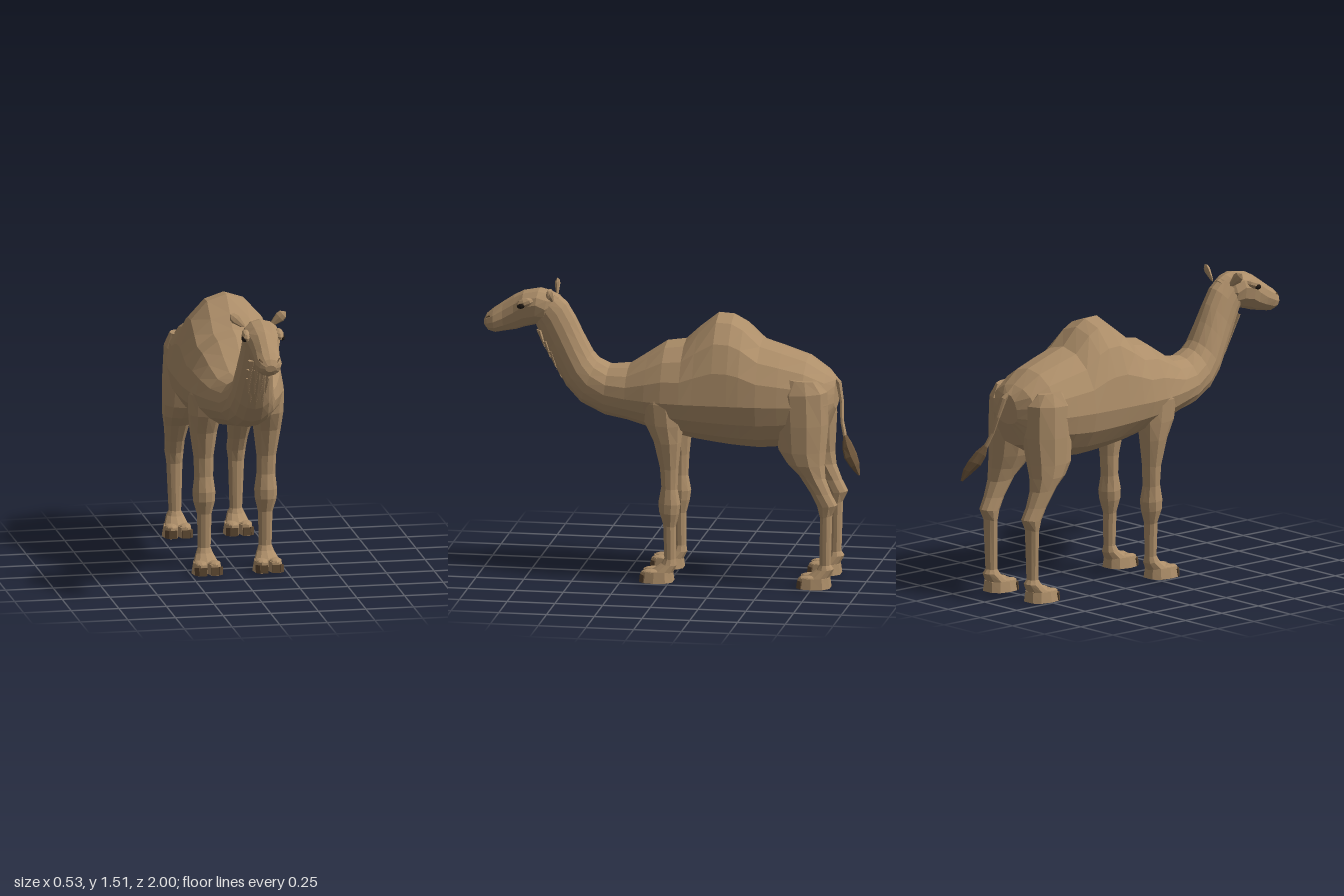
import * as THREE from 'three';

const mat = (name, color) => {
  const m = new THREE.MeshStandardMaterial({ color, flatShading: true });
  m.name = name;
  return m;
};

// Skin over cross-sections. Each ring: [zA, yA, zB, yB, halfWidth, xCentre, widest]
// A is the upper (or front) point, B the lower (or rear) one; widest = place of full width from B to A.
function loft(rings, sides) {
  const pos = [], idx = [], n = rings.length;
  rings.forEach(([za, ya, zb, yb, hw, cx = 0, k = 0.5]) => {
    const cz = zb + (za - zb) * k, cy = yb + (ya - yb) * k;
    for (let j = 0; j < sides; j++) {
      const a = (j / sides) * Math.PI * 2, c = Math.cos(a), f = Math.abs(c);
      const [tz, ty] = c > 0 ? [za, ya] : [zb, yb];
      pos.push(cx + hw * Math.sin(a), cy + (ty - cy) * f, cz + (tz - cz) * f);
    }
  });
  for (const r of [rings[0], rings[n - 1]]) pos.push(r[5] || 0, (r[1] + r[3]) / 2, (r[0] + r[2]) / 2);
  for (let j = 0; j < sides; j++) {
    const q = (j + 1) % sides, e = (n - 1) * sides;
    for (let i = 0; i < n - 1; i++) {
      const a = i * sides, b = a + sides;
      idx.push(a + j, b + j, b + q, a + j, b + q, a + q);
    }
    idx.push(n * sides, j, q, n * sides + 1, e + q, e + j);
  }
  const g = new THREE.BufferGeometry();
  g.setAttribute('position', new THREE.Float32BufferAttribute(pos, 3));
  g.setIndex(idx);
  const flat = g.toNonIndexed();
  flat.computeVertexNormals();
  return flat;
}

export function createModel() {
  const model = new THREE.Group();
  model.name = 'camel';
  const fur = mat('tan fur', 0xad8e69);
  const tuft = mat('dark tuft', 0x6f573c);
  const nail = mat('brown toenail', 0x5c4731);
  const sole = mat('dark sole', 0x3f3022);
  const black = mat('eye black', 0x1e1712);

  const add = (name, geo, material, parent = model) => {
    const m = new THREE.Mesh(geo, material);
    m.name = name;
    parent.add(m);
    return m;
  };

  // Trunk with hump: z, bottom, top, half width
  const trunk = [
    [-0.845, 0.92, 1.08, 0.08], [-0.80, 0.80, 1.12, 0.185], [-0.70, 0.745, 1.19, 0.23],
    [-0.57, 0.705, 1.235, 0.25], [-0.46, 0.695, 1.27, 0.263], [-0.37, 0.70, 1.36, 0.265],
    [-0.31, 0.705, 1.395, 0.265], [-0.23, 0.715, 1.40, 0.265], [-0.13, 0.73, 1.32, 0.265],
    [-0.06, 0.745, 1.255, 0.263], [0.04, 0.765, 1.24, 0.25], [0.13, 0.785, 1.18, 0.228],
    [0.235, 0.815, 1.11, 0.19],
  ].map(([z, b, t, w]) => [z, t, z, b, w, 0, (0.96 - b) / (t - b)]);
  const neck = [
    [0.34, 1.10, 0.36, 0.835, 0.148], [0.40, 1.13, 0.49, 0.895, 0.122],
    [0.43, 1.165, 0.57, 0.98, 0.108], [0.48, 1.26, 0.62, 1.07, 0.096],
    [0.52, 1.345, 0.67, 1.16, 0.085], [0.565, 1.42, 0.71, 1.25, 0.08],
    [0.62, 1.465, 0.735, 1.31, 0.078],
  ];
  add('bodyAndNeck', loft([...trunk, ...neck], 16), fur);

  // Head
  add('head', loft([
    [0.60, 1.455, 0.66, 1.34, 0.055], [0.655, 1.48, 0.685, 1.305, 0.086],
    [0.71, 1.49, 0.73, 1.295, 0.097, 0, 0.62], [0.79, 1.475, 0.79, 1.28, 0.09, 0, 0.62],
    [0.84, 1.45, 0.835, 1.265, 0.074, 0, 0.55], [0.90, 1.41, 0.89, 1.255, 0.067],
    [0.95, 1.375, 0.94, 1.245, 0.069], [0.985, 1.345, 0.975, 1.255, 0.055],
    [1.0, 1.315, 0.995, 1.28, 0.028],
  ], 12), fur);

  for (const s of [1, -1]) {
    const side = s > 0 ? 'left' : 'right';

    // Brow, eye, nostril
    const brow = add(side + 'Brow', new THREE.SphereGeometry(1, 8, 5), fur);
    brow.scale.set(0.024, 0.024, 0.048);
    brow.position.set(s * 0.087, 1.425, 0.775);
    brow.rotation.x = 0.35;
    const eye = add(side + 'Eye', new THREE.SphereGeometry(1, 8, 6), black);
    eye.scale.set(0.016, 0.015, 0.024);
    eye.position.set(s * 0.098, 1.412, 0.79);
    eye.rotation.x = 0.35;
    const nostril = add(side + 'Nostril', new THREE.BoxGeometry(0.006, 0.009, 0.03), tuft);
    nostril.position.set(s * 0.045, 1.334, 0.972);
    nostril.rotation.set(0.7, s * -0.5, 0);

    // Ear: flattened leaf leaning outwards
    const ear = add(side + 'Ear', new THREE.LatheGeometry([
      [0, -0.05], [0.013, -0.035], [0.028, 0.02], [0.024, 0.042], [0, 0.062],
    ].map(p => new THREE.Vector2(...p)), 7), fur);
    ear.scale.set(1, 1, 0.5);
    ear.position.set(s * 0.102, 1.468, 0.635);
    ear.rotation.set(-0.15, s * -0.3, s * -0.85);

    // Legs: front and rear outline from top to bottom
    add(side + 'FrontLeg', loft([
      [0.10, 1.02, -0.02, 1.02, 0.03, s * 0.20], [0.145, 0.95, -0.06, 0.95, 0.075, s * 0.175],
      [0.135, 0.84, -0.07, 0.83, 0.085, s * 0.163], [0.085, 0.74, -0.06, 0.74, 0.072, s * 0.167],
      [0.052, 0.60, -0.045, 0.60, 0.052, s * 0.165], [0.045, 0.50, -0.04, 0.49, 0.05, s * 0.163],
      [0.06, 0.42, -0.055, 0.41, 0.06, s * 0.162], [0.058, 0.37, -0.048, 0.36, 0.057, s * 0.162],
      [0.036, 0.30, -0.03, 0.29, 0.038, s * 0.16], [0.03, 0.12, -0.03, 0.12, 0.034, s * 0.16],
      [0.045, 0.095, -0.035, 0.085, 0.045, s * 0.16], [0.095, 0.06, -0.015, 0.045, 0.064, s * 0.16],
    ], 10), fur);
    add(side + 'HindLeg', loft([
      [-0.60, 1.10, -0.77, 1.09, 0.05, s * 0.16], [-0.54, 1.02, -0.82, 1.03, 0.105, s * 0.135],
      [-0.55, 0.86, -0.825, 0.86, 0.118, s * 0.13], [-0.565, 0.72, -0.815, 0.72, 0.10, s * 0.148],
      [-0.61, 0.655, -0.81, 0.65, 0.084, s * 0.16], [-0.67, 0.60, -0.815, 0.58, 0.066, s * 0.165],
      [-0.735, 0.50, -0.845, 0.50, 0.052, s * 0.165], [-0.77, 0.43, -0.877, 0.44, 0.05, s * 0.163],
      [-0.785, 0.37, -0.85, 0.385, 0.043, s * 0.162], [-0.783, 0.12, -0.842, 0.12, 0.033, s * 0.16],
      [-0.768, 0.095, -0.858, 0.098, 0.045, s * 0.16], [-0.72, 0.06, -0.83, 0.045, 0.064, s * 0.16],
    ], 10), fur);

    // Feet: rounded two-toed pads with a front cleft, dark soles and toenails
    for (const [z, end] of [[0.065, 'Front'], [-0.758, 'Hind']]) {
      const foot = new THREE.Group();
      foot.name = side + end + 'Foot';
      foot.position.set(s * 0.16, 0, z);
      model.add(foot);
      const outline = [
        [0, 0.035], [0.012, 0.082], [0.05, 0.086], [0.072, 0.06], [0.08, 0.01],
        [0.068, -0.05], [0.035, -0.082],
      ];
      const ring = [...outline, ...outline.slice(1).reverse().map(([x, y]) => [-x, y])];
      const pad = new THREE.ExtrudeGeometry(
        new THREE.Shape(ring.map(p => new THREE.Vector2(...p))),
        { depth: 0.055, bevelEnabled: false });
      pad.rotateX(Math.PI / 2).translate(0, 0.055, 0);
      const p = pad.attributes.position; // pull the upper rim inwards
      for (let i = 0; i < p.count; i++) {
        if (p.getY(i) > 0.03) p.setXYZ(i, p.getX(i) * 0.88, p.getY(i), p.getZ(i) * 0.92);
      }
      pad.computeVertexNormals();
      add('pad', pad, fur, foot);
      const under = new THREE.ShapeGeometry(new THREE.Shape(ring.map(q => new THREE.Vector2(...q))));
      add('sole', under.rotateX(Math.PI / 2).translate(0, -0.0005, 0), sole, foot);
      for (const t of [1, -1]) {
        const toe = add('toe', new THREE.SphereGeometry(1, 8, 4, 0, Math.PI * 2, 0, Math.PI / 2), fur, foot);
        toe.scale.set(0.033, 0.014, 0.055);
        toe.position.set(t * 0.036, 0.053, 0.025);
        const claw = add('toenail', new THREE.BoxGeometry(0.04, 0.042, 0.008), nail, foot);
        claw.position.set(t * 0.032, 0.022, 0.083);
        claw.rotation.set(-0.12, t * 0.1, 0);
        const outer = add('toenailSide', new THREE.BoxGeometry(0.03, 0.042, 0.008), nail, foot);
        outer.position.set(t * 0.061, 0.022, 0.072);
        outer.rotation.set(-0.12, t * 0.87, 0);
      }
    }
  }

  // Throat fringe: rows of pointed locks down the front of the neck
  for (let row = 0; row < 4; row++) {
    const count = row === 3 ? 3 : 4;
    for (let i = 0; i < count; i++) {
      const x = (i - (count - 1) / 2) * 0.03;
      const lock = add('throatLock', new THREE.ConeGeometry(0.02, 0.1, 5), fur);
      lock.scale.z = 0.6;
      lock.position.set(x, 1.225 - row * 0.054, 0.7 - row * 0.03 - x * x * 6);
      lock.rotation.x = Math.PI + 0.3;
    }
  }

  // Tail swinging to the left, with a dark tuft
  add('tail', loft([
    [-0.82, 1.09, -0.845, 1.08, 0.016, 0], [-0.845, 1.04, -0.872, 1.06, 0.014, 0.01],
    [-0.868, 0.95, -0.89, 0.955, 0.012, 0.035], [-0.876, 0.86, -0.896, 0.865, 0.012, 0.07],
    [-0.9, 0.77, -0.92, 0.78, 0.013, 0.105],
  ], 7), fur);
  add('tailTuft', loft([
    [-0.895, 0.79, -0.915, 0.80, 0.014, 0.10], [-0.896, 0.73, -0.945, 0.765, 0.03, 0.122],
    [-0.91, 0.685, -0.975, 0.715, 0.034, 0.145], [-0.945, 0.645, -0.993, 0.67, 0.024, 0.167],
    [-0.99, 0.605, -1.0, 0.61, 0.006, 0.185],
  ], 7), tuft);

  return model;
}
